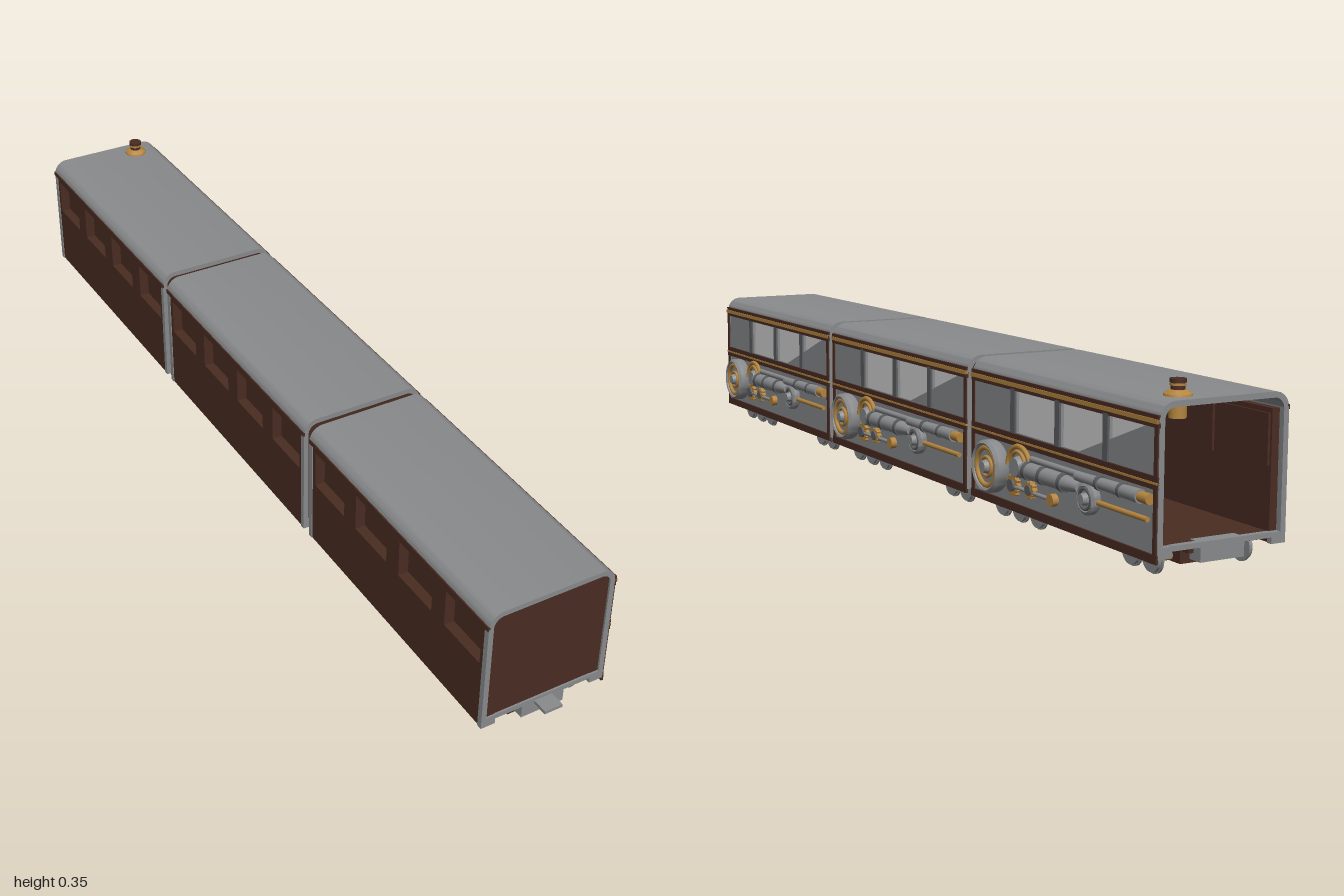
import * as THREE from 'three';
import { toCreasedNormals } from 'three/addons/utils/BufferGeometryUtils.js';

const mat = (name, color, side = THREE.FrontSide) => {
  const m = new THREE.MeshStandardMaterial({ color, side });
  m.name = name;
  return m;
};
const steel = mat('steel grey', 0x8a8b8d);
const iron = mat('dark iron', 0x5c5f62);
const wood = mat('dark brown', 0x4a2c22);
const brass = mat('brass', 0xb4853f);
const glass = mat('pale glass', 0xd2d3d4);

const L = 0.641, PITCH = 0.663, XL = -0.155, XR = 0.122, XC = (XL + XR) / 2, TOP = 0.319;
const WINDOWS = [-0.24, -0.08, 0.08, 0.24];

function add(group, name, geo, material, x = 0, y = 0, z = 0) {
  const m = new THREE.Mesh(geo, material);
  m.name = name;
  m.position.set(x, y, z);
  group.add(m);
  return m;
}

// Box given by its limits on each axis
function box(g, name, m, x0, x1, y0, y1, z0, z1) {
  return add(g, name, new THREE.BoxGeometry(x1 - x0, y1 - y0, z1 - z0), m,
    (x0 + x1) / 2, (y0 + y1) / 2, (z0 + z1) / 2);
}

// Disc with its axis along x
function disc(g, name, m, r, x0, x1, y, z, r2 = r) {
  const geo = new THREE.CylinderGeometry(r2, r, x1 - x0, 28).rotateZ(-Math.PI / 2);
  return add(g, name, geo, m, (x0 + x1) / 2, y, z);
}

// Rod with its axis along z
function rod(g, name, m, rFront, rBack, x, y, zFront, zBack) {
  const geo = new THREE.CylinderGeometry(rFront, rBack, zFront - zBack, 16).rotateX(Math.PI / 2);
  return add(g, name, geo, m, x, y, (zFront + zBack) / 2);
}

// Lathe profile turned to point along +x
function turned(points) {
  const p = points.map(([r, h]) => new THREE.Vector2(r, h));
  return toCreasedNormals(new THREE.LatheGeometry(p, 32).rotateZ(-Math.PI / 2), 0.5);
}

// Ring parallel to the side wall, optionally an arc
function ring(g, name, m, R, t, x, y, z, arc = Math.PI * 2) {
  return add(g, name, new THREE.TorusGeometry(R, t, 8, 32, arc).rotateY(Math.PI / 2), m, x, y, z);
}

function gear(g, name, m, r, teeth, x0, depth, y, z) {
  const s = new THREE.Shape();
  for (let i = 0; i < teeth * 4; i++) {
    const a = (i / (teeth * 4)) * Math.PI * 2, q = i % 4 < 2 ? r : r * 0.84;
    s[i ? 'lineTo' : 'moveTo'](Math.cos(a) * q, Math.sin(a) * q);
  }
  const hole = new THREE.Path();
  hole.absarc(0, 0, r * 0.55, 0, Math.PI * 2, true);
  s.holes.push(hole);
  const geo = new THREE.ExtrudeGeometry(s, { depth, bevelEnabled: false }).rotateY(Math.PI / 2);
  add(g, name, geo, m, x0, y, z);
}

// Inverted U with rounded shoulders, extruded along z
function hoop(yb, z0, z1, t) {
  const s = new THREE.Shape(), R = 0.032, r = R - t;
  s.moveTo(XL, yb);
  s.lineTo(XL + t, yb);
  s.lineTo(XL + t, TOP - R);
  s.absarc(XL + R, TOP - R, r, Math.PI, Math.PI / 2, true);
  s.lineTo(XR - R, TOP - t);
  s.absarc(XR - R, TOP - R, r, Math.PI / 2, 0, true);
  s.lineTo(XR - t, yb);
  s.lineTo(XR, yb);
  s.lineTo(XR, TOP - R);
  s.absarc(XR - R, TOP - R, R, 0, Math.PI / 2, false);
  s.lineTo(XL + R, TOP);
  s.absarc(XL + R, TOP - R, R, Math.PI / 2, Math.PI, false);
  const geo = new THREE.ExtrudeGeometry(s, { depth: z1 - z0, bevelEnabled: false, curveSegments: 10 });
  return toCreasedNormals(geo.translate(0, 0, z0), 0.5);
}

// Wall with four window holes, thickness along x
function wall(y0, y1, wy0, wy1, w, depth) {
  const h = L / 2 - 0.012;
  const s = new THREE.Shape([[-h, y0], [h, y0], [h, y1], [-h, y1]].map(p => new THREE.Vector2(...p)));
  for (const c of WINDOWS) {
    s.holes.push(new THREE.Path([[c - w, wy0], [c - w, wy1], [c + w, wy1], [c + w, wy0]]
      .map(p => new THREE.Vector2(...p))));
  }
  return new THREE.ExtrudeGeometry(s, { depth, bevelEnabled: false }).rotateY(Math.PI / 2);
}

function body(g) {
  const h = L / 2;
  add(g, 'roof', hoop(0.283, -h, h, 0.011), steel);
  for (const [a, b] of [[-h, -h + 0.012], [h - 0.012, h]]) {
    add(g, 'endHoop', hoop(0.045, a, b, 0.011), steel);
    box(g, 'hoopFoot', steel, XL + 0.011, XL + 0.031, 0.045, 0.066, a, b);
    box(g, 'hoopFoot', steel, XR - 0.031, XR - 0.011, 0.045, 0.066, a, b);
    box(g, 'endSill', steel, XL + 0.031, XR - 0.031, 0.057, 0.067, a, b);
  }
  box(g, 'frontWall', wood, XL + 0.01, XR - 0.01, 0.065, 0.309, h - 0.014, h - 0.004);
  box(g, 'floor', wood, XL + 0.008, XR - 0.008, 0.053, 0.065, -h + 0.012, h - 0.012);
  for (const x of [XC - 0.05, XC + 0.05]) box(g, 'floorBeam', wood, x - 0.008, x + 0.008, 0.043, 0.053, -h + 0.02, h - 0.02);

  // Right-hand machinery wall with glazing and mouldings
  add(g, 'machineWall', wall(0.045, 0.285, 0.192, 0.275, 0.071, 0.01), steel, XR - 0.011);
  for (const c of WINDOWS) {
    add(g, 'windowPane', new THREE.PlaneGeometry(0.143, 0.084).rotateY(Math.PI / 2), glass, XR - 0.007, 0.2335, c);
  }
  for (const c of [-0.16, 0, 0.16]) box(g, 'windowPost', iron, XR - 0.002, XR + 0.003, 0.19, 0.277, c - 0.008, c + 0.008);
  for (const s of [-1, 1]) box(g, 'cornerPost', wood, XR - 0.002, XR + 0.003, 0.045, 0.28, s * 0.314 - 0.005, s * 0.314 + 0.005);
  box(g, 'upperMoulding', wood, XR - 0.002, XR + 0.003, 0.274, 0.296, -h, h);
  box(g, 'upperBrassTrim', brass, XR, XR + 0.005, 0.281, 0.289, -h, h);
  box(g, 'beltMoulding', wood, XR - 0.002, XR + 0.003, 0.167, 0.19, -h, h);
  box(g, 'beltBrassTrim', brass, XR, XR + 0.0045, 0.176, 0.18, -h, h);
  box(g, 'lowerMoulding', wood, XR - 0.002, XR + 0.003, 0.037, 0.053, -h, h);

  // Left-hand wooden wall with recessed blind windows
  add(g, 'woodWall', wall(0.045, 0.287, 0.19, 0.272, 0.058, 0.025), wood, XL + 0.002);
  for (const c of WINDOWS) box(g, 'blindWindow', wood, XL + 0.024, XL + 0.032, 0.184, 0.278, c - 0.064, c + 0.064);
  box(g, 'leftGutter', wood, XL - 0.002, XL + 0.003, 0.285, 0.294, -h, h);
}

function machinery(g) {
  // Flywheel
  add(g, 'flywheel', turned([[0, 0], [0.05, 0], [0.053, 0.006], [0.053, 0.024], [0.047, 0.03],
    [0.043, 0.028], [0.041, 0.02], [0, 0.02]]), steel, XR, 0.115, 0.225);
  ring(g, 'flywheelBrassRing', brass, 0.038, 0.0055, XR + 0.022, 0.115, 0.225);
  ring(g, 'flywheelInnerRing', brass, 0.019, 0.004, XR + 0.022, 0.115, 0.225);
  disc(g, 'flywheelHub', steel, 0.017, XR + 0.015, XR + 0.033, 0.115, 0.225, 0.011);

  // Gear train
  ring(g, 'brassArc', brass, 0.042, 0.005, XR + 0.008, 0.128, 0.125, Math.PI);
  ring(g, 'brassInnerArc', brass, 0.026, 0.004, XR + 0.008, 0.133, 0.13, Math.PI);
  gear(g, 'brassGear', brass, 0.022, 12, XR, 0.009, 0.09, 0.15);
  gear(g, 'brassGear', brass, 0.017, 10, XR, 0.011, 0.092, 0.085);
  disc(g, 'gearHub', iron, 0.012, XR, XR + 0.014, 0.09, 0.15);
  disc(g, 'gearHub', iron, 0.01, XR, XR + 0.014, 0.092, 0.085);
  disc(g, 'ironBoss', steel, 0.022, XR, XR + 0.014, 0.128, 0.135, 0.018);
  disc(g, 'brassBoss', brass, 0.012, XR, XR + 0.013, 0.088, 0.006);
  rod(g, 'linkRod', steel, 0.004, 0.004, XR + 0.007, 0.088, 0.16, 0);

  // Piston, pulley and pipes
  rod(g, 'piston', steel, 0.016, 0.016, XR + 0.01, 0.13, 0.1, -0.04);
  rod(g, 'pistonTaper', steel, 0.016, 0.009, XR + 0.01, 0.13, -0.04, -0.09);
  for (const z of [0.09, 0.035, -0.035]) rod(g, 'pistonCollar', iron, 0.019, 0.019, XR + 0.008, 0.13, z, z - 0.01);
  add(g, 'pulley', turned([[0, 0], [0.028, 0], [0.03, 0.004], [0.03, 0.014], [0.024, 0.018],
    [0.02, 0.015], [0.012, 0.015], [0.01, 0.026], [0, 0.026]]), steel, XR, 0.115, -0.118);
  ring(g, 'pulleyRing', iron, 0.019, 0.003, XR + 0.016, 0.115, -0.118);
  rod(g, 'brassPipe', brass, 0.005, 0.005, XR + 0.007, 0.113, -0.14, -0.3);
  rod(g, 'barrel', steel, 0.009, 0.013, XR + 0.008, 0.15, -0.08, -0.28);
  rod(g, 'barrelTip', brass, 0.01, 0.01, XR + 0.008, 0.15, -0.28, -0.308);
  rod(g, 'upperPipe', steel, 0.006, 0.006, XR + 0.007, 0.153, 0.08, -0.09);
  for (const z of [-0.15, -0.22]) rod(g, 'barrelBand', iron, 0.014, 0.014, XR + 0.007, 0.15, z, z - 0.008);
}

function runningGear(g) {
  for (const z of [0.264, 0.197, 0.13, -0.187, -0.25]) {
    disc(g, 'axle', brass, 0.0085, -0.112, 0.083, 0.03, z);
    for (const s of [-1, 1]) {
      const x = XC + s * 0.098;
      disc(g, 'wheel', steel, 0.025, x - 0.005, x + 0.005, 0.029, z);
      const xi = x - s * 0.003;
      disc(g, 'wheelFlange', steel, 0.0285, xi - 0.002, xi + 0.002, 0.029, z);
      disc(g, 'wheelHub', iron, 0.009, x - 0.007, x + 0.007, 0.029, z);
    }
  }
  for (const [a, b] of [[0.1, 0.294], [-0.28, -0.157]]) {
    box(g, 'bogieFrame', wood, -0.076, 0.044, 0.02, 0.045, a, b);
    box(g, 'bogiePivot', wood, XC - 0.03, XC + 0.03, 0.045, 0.054, a + 0.03, b - 0.03);
  }
  for (const s of [-1, 1]) {
    const z = s * 0.305;
    box(g, 'couplerBlock', steel, -0.064, 0.031, 0.03, 0.066, z - 0.0155, z + 0.0155);
  }
  box(g, 'couplerTongue', steel, -0.036, 0.004, 0.053, 0.06, L / 2, L / 2 + 0.033);
}

// Chimney near the tail, with its pipe below the ceiling
function chimney(g) {
  const c = new THREE.Group();
  c.name = 'chimney';
  c.position.set(0.052, TOP, -0.274);
  const p = [[0.026, 0], [0.025, 0.004], [0.016, 0.011], [0, 0.011]].map(q => new THREE.Vector2(...q));
  add(c, 'chimneyBase', toCreasedNormals(new THREE.LatheGeometry(p, 24), 0.5), brass);
  add(c, 'chimneyStack', new THREE.CylinderGeometry(0.013, 0.013, 0.022, 24), wood, 0, 0.016, 0);
  add(c, 'chimneyBand', new THREE.CylinderGeometry(0.0145, 0.0145, 0.004, 24), brass, 0, 0.02, 0);
  add(c, 'chimneyCap', new THREE.CylinderGeometry(0.015, 0.015, 0.007, 24), wood, 0, 0.0265, 0);
  add(c, 'chimneyPipe', new THREE.CylinderGeometry(0.016, 0.016, 0.03, 24), brass, 0, -0.024, 0);
  g.add(c);
}

export function createModel() {
  const model = new THREE.Group();
  model.name = 'train';
  for (let i = 0; i < 3; i++) {
    const car = new THREE.Group();
    car.name = ['frontCar', 'middleCar', 'rearCar'][i];
    car.position.z = 0.6465 - i * PITCH;
    body(car);
    machinery(car);
    runningGear(car);
    if (i === 2) chimney(car);
    model.add(car);
  }
  return model;
}
